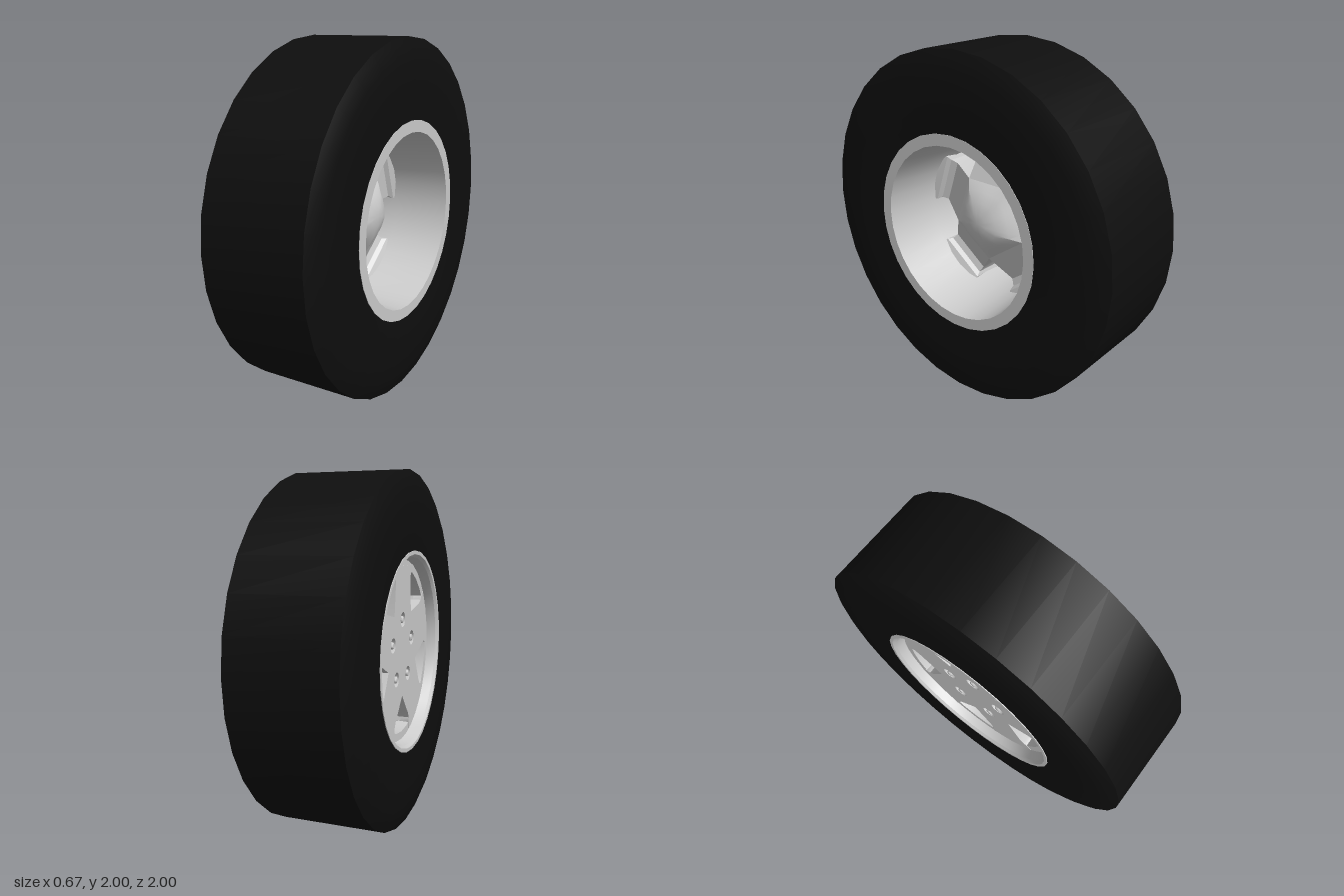
import * as THREE from 'three';
import { toCreasedNormals } from 'three/addons/utils/BufferGeometryUtils.js';

const grey = new THREE.MeshStandardMaterial({ color: 0xcccccc });
const rubber = new THREE.MeshStandardMaterial({ color: 0x0e0e0e });
const STEP = (Math.PI * 2) / 5;

// The wheel is built about the z axis, outer face towards +z, then turned to face -x.
function addMesh(parent, name, geometry, material = grey) {
  const mesh = new THREE.Mesh(geometry, material);
  mesh.name = name;
  parent.add(mesh);
  return mesh;
}

// Turned profile of [radius, depth] points
function turned(points, segments, crease) {
  const geo = new THREE.LatheGeometry(points.map(([r, d]) => new THREE.Vector2(r, d)), segments);
  geo.rotateX(Math.PI / 2);
  return toCreasedNormals(geo, crease);
}

// Spoke stations: distance from axle, half width, depth of the rear surface
const SPOKE = [
  [0.21, 0.1526, -0.02],
  [0.38, 0.133, 0.06],
  [0.42, 0.137, 0.045],
  [0.436, 0.155, 0.02],
  [0.48, 0.17, 0.0],
];
const FLOOR = 0.215;
const FACE = 0.265;

// Spoke body: rectangular sections joined along the spoke
function spokeGeometry() {
  const positions = [];
  const loops = SPOKE.map(([y, w, back]) => [
    [-w, y, back], [-w, y, FLOOR], [w, y, FLOOR], [w, y, back],
  ]);
  for (let s = 0; s < loops.length - 1; s++) {
    for (let i = 0; i < 4; i++) {
      const j = (i + 1) % 4;
      const p = loops[s], q = loops[s + 1];
      for (const v of [p[i], p[j], q[j], p[i], q[j], q[i]]) positions.push(...v);
    }
  }
  const geo = new THREE.BufferGeometry();
  geo.setAttribute('position', new THREE.Float32BufferAttribute(positions, 3));
  return toCreasedNormals(geo, 0.3);
}

// Star-shaped face plate with round openings for the lug nuts
function faceGeometry() {
  const outline = [];
  const half = SPOKE.map(([y, w]) => new THREE.Vector2(w, y));
  const mirrored = half.slice(1).reverse().map((p) => new THREE.Vector2(-p.x, p.y));
  const centre = new THREE.Vector2();
  for (let k = 0; k < 5; k++) {
    for (const p of [...half, ...mirrored]) outline.push(p.clone().rotateAround(centre, k * STEP));
  }
  const shape = new THREE.Shape(outline);
  for (let k = 0; k < 5; k++) {
    const a = Math.PI / 2 + k * STEP;
    const hole = new THREE.Path();
    hole.absarc(0.18 * Math.cos(a), 0.18 * Math.sin(a), 0.042, 0, Math.PI * 2, true);
    shape.holes.push(hole);
  }
  const geo = new THREE.ExtrudeGeometry(shape, { depth: FACE - FLOOR, bevelEnabled: false, curveSegments: 10 });
  geo.translate(0, 0, FLOOR);
  return toCreasedNormals(geo, 0.7);
}

// Rear hub boss: a dome that blends from round at its tip to a pentagon at its base
function hubGeometry() {
  const profile = [[0, -0.125], [0.06, -0.12], [0.12, -0.1], [0.17, -0.063], [0.21, -0.02], [0.21, FLOOR]];
  const geo = new THREE.LatheGeometry(profile.map(([r, d]) => new THREE.Vector2(r, d)), 40);
  geo.rotateX(Math.PI / 2);
  const pos = geo.attributes.position;
  for (let i = 0; i < pos.count; i++) {
    const x = pos.getX(i), y = pos.getY(i);
    const a = Math.atan2(x, y);
    const off = a - Math.round(a / STEP) * STEP;
    const t = Math.min(1, Math.hypot(x, y) / 0.21) ** 2;
    const k = 1 + t * (1 / Math.cos(off) - 1);
    pos.setXY(i, x * k, y * k);
  }
  return toCreasedNormals(geo, 0.5);
}

export function createModel() {
  const model = new THREE.Group();
  model.name = 'wheelAndTyre';
  const wheel = new THREE.Group();
  wheel.name = 'wheel';
  wheel.position.y = 1;
  wheel.rotation.y = -Math.PI / 2;
  model.add(wheel);

  // Tyre
  addMesh(wheel, 'tyre', turned([
    [0.555, -0.325], [0.75, -0.335], [0.9, -0.33], [0.96, -0.312], [1, -0.295],
    [1, 0.295], [0.96, 0.312], [0.9, 0.33], [0.75, 0.335], [0.555, 0.325],
  ], 32, 0.6), rubber);

  // Rim: outer lip, barrel and rear flange
  addMesh(wheel, 'rim', turned([
    [0.565, 0.31], [0.565, 0.33], [0.545, 0.33], [0.53, 0.315], [0.515, 0.262], [0.47, 0.262],
    [0.462, 0.1], [0.475, 0.0], [0.5, -0.328], [0.565, -0.328], [0.565, -0.31],
  ].reverse().map(([r, d]) => [r, d]).reverse(), 32, 0.4));

  // Hub and star face
  addMesh(wheel, 'hubBoss', hubGeometry());
  addMesh(wheel, 'starFace', faceGeometry());

  // Hub floor behind the nut openings
  const floor = addMesh(wheel, 'hubFloor', new THREE.CircleGeometry(0.23, 32));
  floor.position.z = FLOOR + 0.002;

  // Spokes and lug nuts
  const spokeGeo = spokeGeometry();
  const nutGeo = turned([
    [0.028, FLOOR], [0.028, 0.235], [0.02, 0.24], [0.02, 0.262], [0.014, 0.268], [0, 0.268],
  ], 12, 0.6);
  for (let k = 0; k < 5; k++) {
    const arm = new THREE.Group();
    arm.name = 'arm' + (k + 1);
    arm.rotation.z = k * STEP;
    wheel.add(arm);
    addMesh(arm, 'spoke', spokeGeo);
    addMesh(arm, 'lugNut', nutGeo).position.y = 0.18;
  }
  return model;
}
